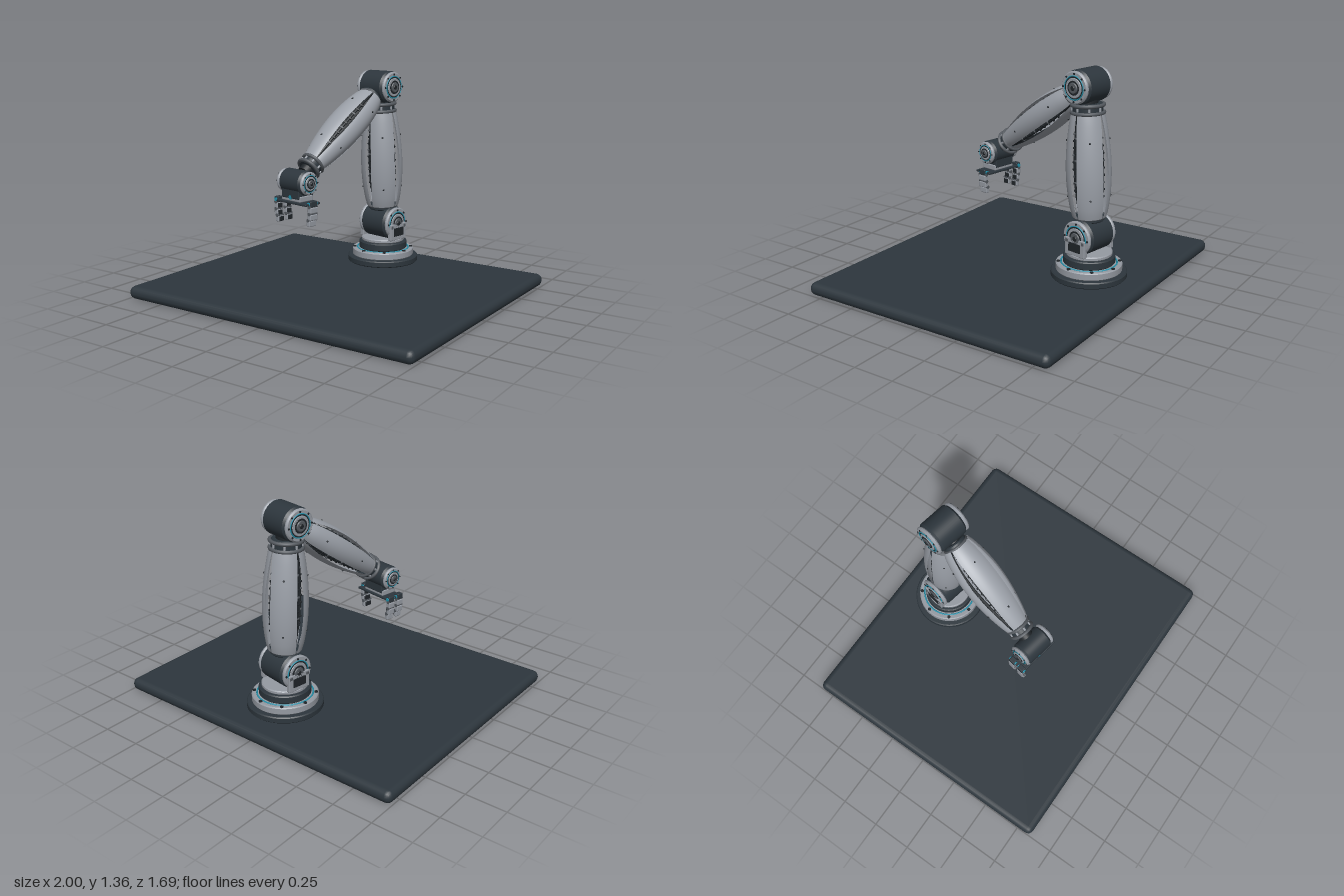
import * as THREE from 'three';
import { RoundedBoxGeometry } from 'three/addons/geometries/RoundedBoxGeometry.js';

const mat = (name, color, side = THREE.FrontSide) => {
  const m = new THREE.MeshStandardMaterial({ color, side });
  m.name = name;
  return m;
};

export function createModel() {
  const slate = mat('slate', 0x2d363d);
  const black = mat('black', 0x1f2428);
  const steel = mat('steel', 0x959aa2);
  const shell = mat('shell grey', 0x9a9fa7, THREE.DoubleSide);
  const iron = mat('iron', 0x54595f);
  const teal = mat('teal', 0x2391ab);

  const group = (name, parent, x = 0, y = 0, z = 0) => {
    const g = new THREE.Group();
    g.name = name;
    g.position.set(x, y, z);
    parent.add(g);
    return g;
  };
  const add = (parent, name, geo, material, x = 0, y = 0, z = 0) => {
    const m = new THREE.Mesh(geo, material);
    m.name = name;
    m.position.set(x, y, z);
    parent.add(m);
    return m;
  };
  const box = (p, name, w, h, d, material, x, y, z, r = 0.006) =>
    add(p, name, new RoundedBoxGeometry(w, h, d, 2, r), material, x, y, z);
  // Chamfered disc standing on y0, along the parent's y axis
  const disc = (p, name, r, y0, y1, material, c = 0.006) => {
    const pts = [[0, y0], [r - c, y0], [r - c, y0], [r, y0 + c], [r, y0 + c], [r, y1 - c], [r, y1 - c], [r - c, y1], [r - c, y1], [0, y1]];
    return add(p, name, new THREE.LatheGeometry(pts.map(a => new THREE.Vector2(...a)), 48), material);
  };
  const ring = (p, name, r, tube, y, material) => {
    const m = add(p, name, new THREE.TorusGeometry(r, tube, 8, 48), material, 0, y, 0);
    m.rotation.x = Math.PI / 2;
    return m;
  };
  const bolts = (p, n, r, y, size, h, material) => {
    for (let i = 0; i < n; i++) {
      const a = (i / n) * Math.PI * 2;
      add(p, 'bolt', new THREE.CylinderGeometry(size, size, h, 8), material, r * Math.sin(a), y, r * Math.cos(a));
    }
  };

  // Rotary joint: dark drum along x with a dressed cap on both ends
  const joint = (parent, name, r, half, y, z) => {
    const g = group(name, parent, 0, y, z);
    disc(g, 'drum', r, -half * 0.82, half * 0.82, slate, 0.014).rotation.z = Math.PI / 2;
    for (const s of [1, -1]) {
      const cap = group('jointCap', g);
      cap.rotation.z = -s * Math.PI / 2;
      disc(cap, 'capRim', r * 0.95, half * 0.8, half, steel, 0.008);
      disc(cap, 'capRecess', r * 0.68, half, half + 0.002, black, 0.001);
      ring(cap, 'tealRing', r * 0.68, r * 0.035, half + 0.001, teal);
      disc(cap, 'capPlate', r * 0.58, half, half + 0.006, steel, 0.003);
      disc(cap, 'hubGroove', r * 0.42, half, half + 0.008, black, 0.001);
      disc(cap, 'hub', r * 0.32, half, half + 0.013, iron, 0.004);
      disc(cap, 'hubPin', r * 0.14, half, half + 0.017, black, 0.003);
      bolts(cap, 8, r * 0.8, half, r * 0.06, 0.008, black);
    }
    return g;
  };

  // Curved shell panel: barrel profile, narrowed at mid length to open lens-shaped slits
  const panelGeo = (radius, y0, y1, a0, halfAngle, sx, sz) => {
    const nu = 20, nv = 12, pos = [], idx = [];
    for (let i = 0; i <= nu; i++) {
      const u = i / nu, r = radius(u);
      const h = halfAngle - 0.05 - 0.13 * Math.sin(Math.PI * u);
      for (let j = 0; j <= nv; j++) {
        const a = a0 + h * (2 * j / nv - 1);
        pos.push(r * sx * Math.sin(a), y0 + (y1 - y0) * u, r * sz * Math.cos(a));
        if (i < nu && j < nv) {
          const k = i * (nv + 1) + j, n = k + nv + 1;
          idx.push(k, k + 1, n, k + 1, n + 1, n);
        }
      }
    }
    const g = new THREE.BufferGeometry();
    g.setAttribute('position', new THREE.Float32BufferAttribute(pos, 3));
    g.setIndex(idx);
    g.computeVertexNormals();
    return g;
  };

  // Limb along local y: core, four panels, slit rails and end collars
  const limb = (parent, name, o) => {
    const g = group(name, parent, 0, o.y, o.z);
    g.rotation.x = o.tilt;
    const rad = u => o.r0 + (o.r1 - o.r0) * u + o.bulge * Math.pow(Math.sin(Math.PI * Math.pow(u, o.skew)), 0.85);
    add(g, 'core', new THREE.CylinderGeometry(o.r1 * 0.62, o.r0 * 0.62, o.len - 0.14, 24), black, 0, o.len / 2, 0);
    for (let k = 0; k < 4; k++) {
      const a = o.phase + k * Math.PI / 2;
      add(g, 'shellPanel', panelGeo(rad, o.s0, o.s1, a, Math.PI / 4, o.sx, o.sz), shell);
      // Bolt heads along the panel centre
      for (const u of [0.2, 0.75]) {
        const b = add(g, 'panelBolt', new THREE.SphereGeometry(0.006, 8, 6), black,
          rad(u) * o.sx * Math.sin(a), o.s0 + (o.s1 - o.s0) * u, rad(u) * o.sz * Math.cos(a));
        b.scale.set(1, 1, 1);
      }
      // Dark rail with ribs inside each slit
      const slit = group('slitRail', g);
      slit.rotation.y = a + Math.PI / 4;
      const pts = [0, 0.25, 0.5, 0.75, 1].map(u => new THREE.Vector3(0, o.s0 + (o.s1 - o.s0) * u, rad(u) * 0.88 - 0.012));
      add(slit, 'rail', new THREE.TubeGeometry(new THREE.CatmullRomCurve3(pts), 20, 0.009, 8), black);
      for (let i = 1; i < 10; i++) {
        const u = 0.15 + i * 0.07;
        box(slit, 'railRib', 0.026, 0.012, 0.012, i % 3 ? black : iron, 0, o.s0 + (o.s1 - o.s0) * u, rad(u) * 0.88 - 0.008, 0.003);
      }
    }
    // Collars
    disc(g, 'lowerCollar', o.r0 * 0.9, o.s0 - 0.025, o.s0 + 0.005, slate);
    disc(g, 'upperCollar', o.r1 * 0.92, o.s1 - 0.005, o.s1 + 0.06, slate);
    ring(g, 'lowerBead', o.r0 * 0.92, 0.008, o.s0, iron);
    ring(g, 'upperBead', o.r1 * 0.97, 0.011, o.s1 + 0.005, iron);
    ring(g, 'endBead', o.r1 * 0.97, 0.011, o.s1 + 0.05, iron);
    bolts(g, 8, o.r1 * 0.94, o.s1 + 0.027, 0.007, 0.02, steel);
    return g;
  };

  const model = new THREE.Group();
  model.name = 'robotArm';
  box(model, 'groundSlab', 2, 0.08, 1.69, slate, 0, 0.04, 0, 0.038);

  // Everything above turns with the base
  const arm = group('arm', model, 0, 0, -0.505);
  arm.rotation.y = -0.182;

  // Stepped pedestal
  const base = group('pedestal', arm);
  disc(base, 'footRing', 0.23, 0.1, 0.14, slate);
  disc(base, 'footPlate', 0.2, 0.14, 0.187, steel);
  ring(base, 'tealRing', 0.168, 0.005, 0.187, teal);
  bolts(base, 8, 0.185, 0.188, 0.011, 0.01, black);
  disc(base, 'turntable', 0.157, 0.187, 0.237, slate);
  disc(base, 'topPlate', 0.14, 0.237, 0.262, steel);

  // Shoulder with yoke cheeks
  joint(arm, 'shoulder', 0.108, 0.124, 0.365, 0);
  for (const s of [1, -1]) {
    const yoke = group('yoke', arm);
    box(yoke, 'yokeCheek', 0.03, 0.108, 0.15, steel, s * 0.122, 0.31, 0);
    box(yoke, 'yokeWindow', 0.006, 0.055, 0.09, black, s * 0.138, 0.31, 0, 0.002);
    for (const z of [-0.06, 0.06])
      box(yoke, 'yokeLug', 0.02, 0.02, 0.02, iron, s * 0.13, 0.345, z, 0.004);
  }

  limb(arm, 'upperArm', { y: 0.365, z: 0, tilt: 0.045, len: 0.89, s0: 0.11, s1: 0.73, r0: 0.1, r1: 0.097, bulge: 0.034, skew: 0.9, sx: 1.03, sz: 1, phase: Math.PI / 4 });
  joint(arm, 'elbow', 0.101, 0.118, 1.255, 0.04);
  limb(arm, 'forearm', { y: 1.255, z: 0.04, tilt: 2.192, len: 0.9, s0: 0.12, s1: 0.735, r0: 0.08, r1: 0.072, bulge: 0.04, skew: 0.9, sx: 1.08, sz: 0.93, phase: 0 });

  // Wrist and palm
  joint(arm, 'wrist', 0.074, 0.112, 0.73, 0.773);
  const hand = group('gripper', arm, 0, 0, 0.773);
  box(hand, 'wristBlock', 0.15, 0.06, 0.12, slate, 0, 0.665, 0);
  box(hand, 'palm', 0.16, 0.035, 0.11, steel, 0, 0.635, 0);
  box(hand, 'palmPlate', 0.27, 0.014, 0.12, slate, 0, 0.609, 0, 0.004);
  const eye = add(hand, 'palmLight', new THREE.CylinderGeometry(0.013, 0.013, 0.008, 16), teal, 0, 0.642, 0.056);
  eye.rotation.x = Math.PI / 2;

  // Jointed finger curling inward towards the palm centre
  const finger = (side, z, width) => {
    const f = group('finger', hand, side * 0.128, 0.612, z);
    box(f, 'knuckle', 0.034, 0.036, width * 0.9, slate, 0, 0, 0);
    const pin = add(f, 'knucklePin', new THREE.CylinderGeometry(0.011, 0.011, width + 0.008, 16), teal);
    pin.rotation.x = Math.PI / 2;
    [[0.004, -0.038], [0.002, -0.081], [-0.008, -0.12]].forEach(([dx, dy], i) => {
      box(f, 'phalanx', 0.03 - i * 0.002, 0.036, width, steel, side * dx, dy, 0);
      box(f, 'fingerPad', 0.01, 0.028, width * 0.7, black, side * (dx - 0.015), dy, 0, 0.003);
      const h = add(f, 'fingerHinge', new THREE.CylinderGeometry(0.011, 0.011, width * 1.06, 12), iron, side * dx, dy + 0.021, 0);
      h.rotation.x = Math.PI / 2;
    });
  };
  finger(1, 0, 0.06);
  finger(-1, 0.036, 0.046);
  finger(-1, -0.036, 0.046);

  return model;
}
